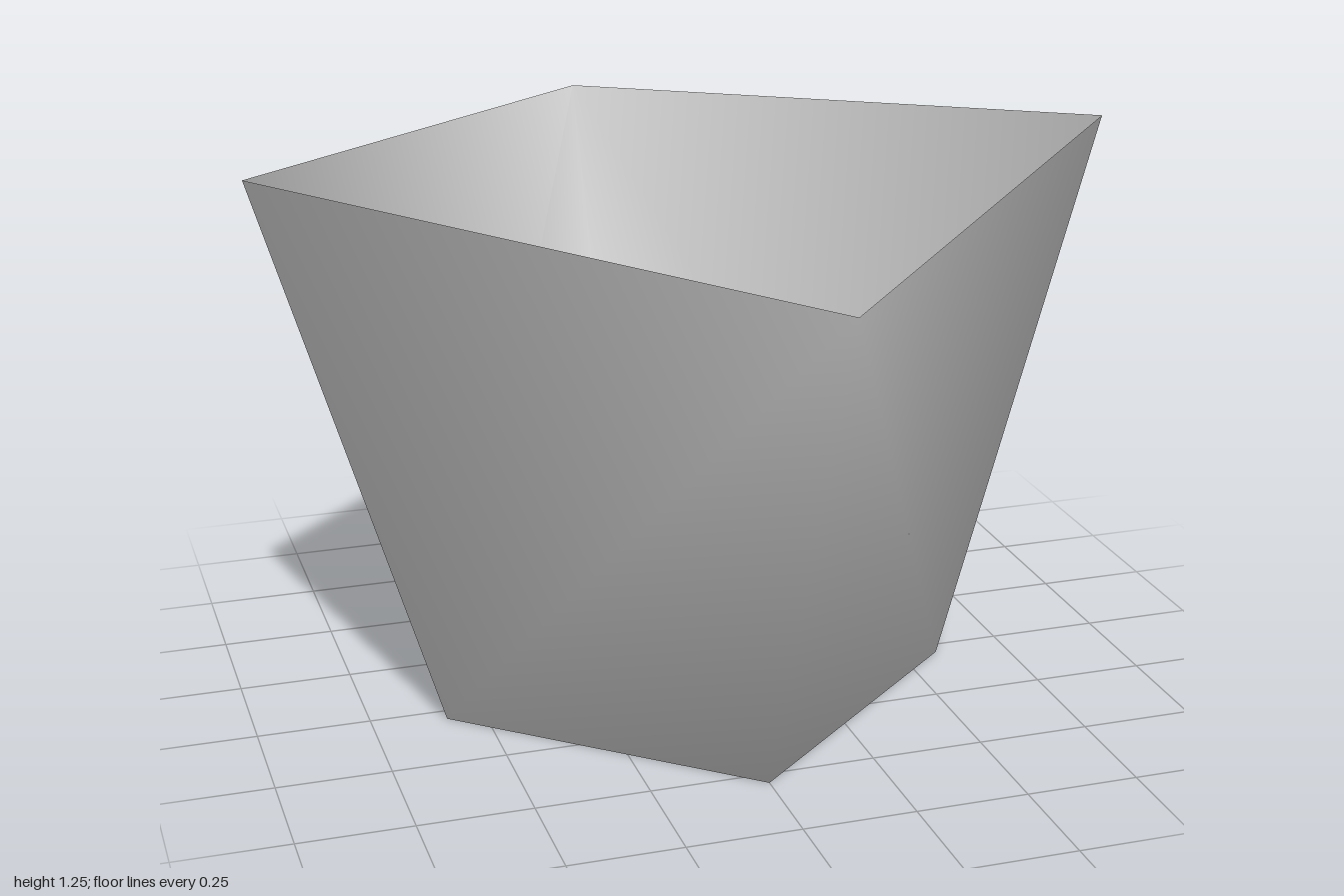
import * as THREE from 'three';

const paleGrey = new THREE.MeshStandardMaterial({ color: 0xc4c4c4, side: THREE.DoubleSide });
paleGrey.name = 'pale grey';

export function createModel() {
  const group = new THREE.Group();
  group.name = 'planter';

  // corner order: front, right, back, left; base ring then flared rim
  const base = [[0, 0, 0.54], [0.585, 0, 0.04], [0, 0, -0.54], [-0.585, 0, 0.04]];
  const rim = [[0, 1.17, 1], [0.96, 1.25, 0], [0, 1.17, -1], [-0.96, 1.25, 0]];

  // floor
  const index = [0, 3, 2, 0, 2, 1];

  // four walls, each folded from the low rim corner to the side base corner
  for (let i = 0; i < 4; i++) {
    const j = (i + 1) % 4;
    if (i % 2 === 0) index.push(i, j, i + 4, j, j + 4, i + 4);
    else index.push(i, j, j + 4, i, j + 4, i + 4);
  }

  // shared corners keep the shading smooth across walls and floor
  const geometry = new THREE.BufferGeometry();
  geometry.setAttribute('position', new THREE.Float32BufferAttribute([...base, ...rim].flat(), 3));
  geometry.setIndex(index);
  geometry.computeVertexNormals();

  const shell = new THREE.Mesh(geometry, paleGrey);
  shell.name = 'openBowlShell';
  group.add(shell);
  return group;
}
